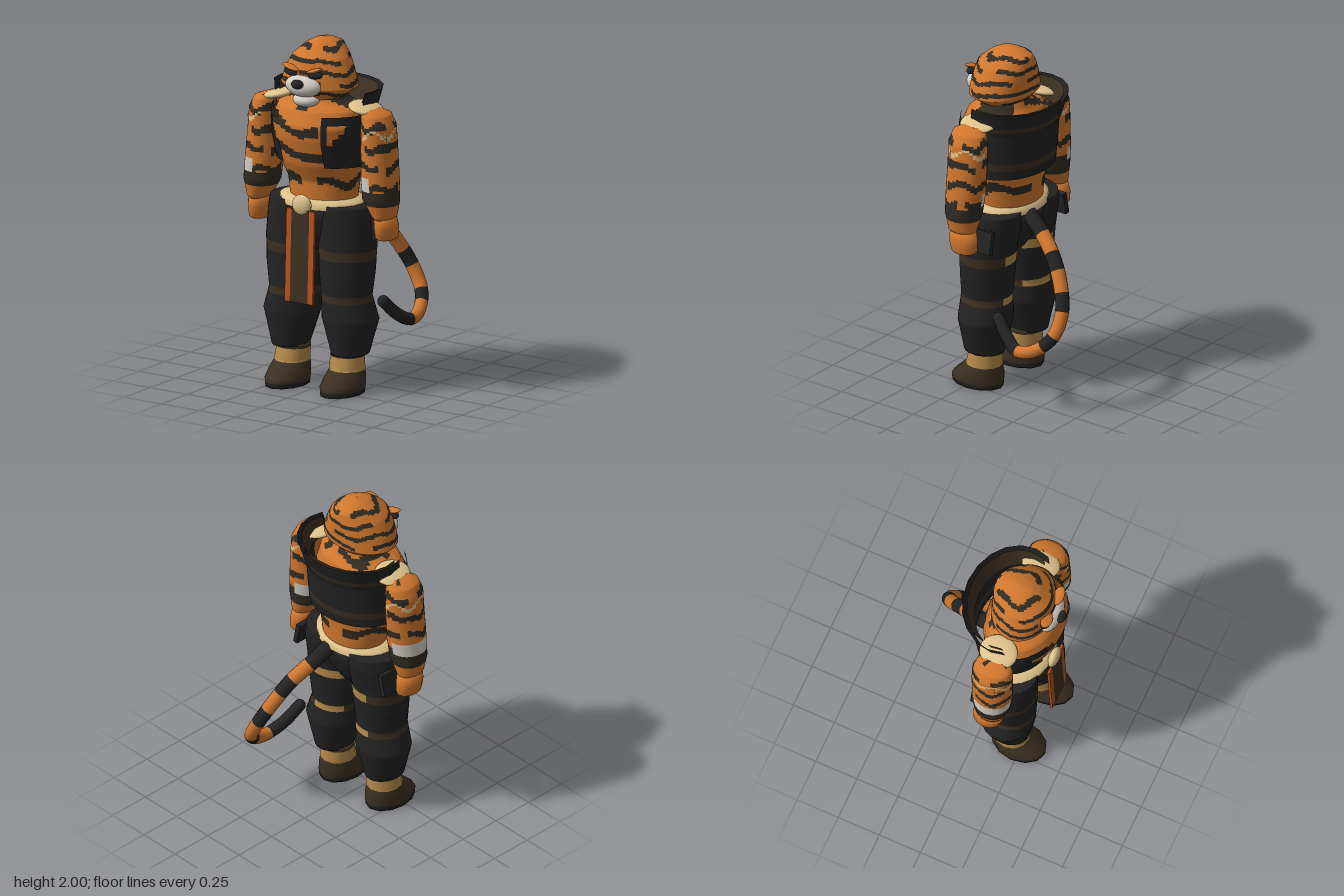
import * as THREE from 'three';

const mat = (name, color, side = THREE.FrontSide) => {
  const m = new THREE.MeshStandardMaterial({ color, side });
  m.name = name;
  return m;
};
const M = {
  orange: mat('orange fur', 0xd0772e),
  stripe: mat('dark stripe', 0x312c24),
  black: mat('black cloth', 0x232324, THREE.DoubleSide),
  brown: mat('brown leather', 0x3c3022, THREE.DoubleSide),
  cream: mat('cream', 0xdfc38c),
  tan: mat('tan wrap', 0xb58a4a),
  white: mat('white fur', 0xd2ccc2),
  rust: mat('rust trim', 0xb8531e),
};

// Skin between elliptical sections [y, cx, cz, rx, rz], listed upward.
// pick(y, angle, x, z) gives each face its material, or null for a gap; angle 0 is the front.
function loft(name, secs, pick, { from = 0, to = Math.PI * 2, seg = 40, step = 0.014 } = {}) {
  const rows = [];
  secs.forEach((s, k) => {
    if (k === 0) return rows.push(s);
    const p = secs[k - 1], n = Math.max(1, Math.ceil((s[0] - p[0]) / step));
    for (let i = 1; i <= n; i++) rows.push(s.map((v, j) => p[j] + (v - p[j]) * i / n));
  });
  const full = to - from > 6.28, cols = full ? seg : seg + 1;
  const angle = i => from + (to - from) * i / seg;
  const pos = [];
  for (const [y, cx, cz, rx, rz] of rows)
    for (let i = 0; i < cols; i++) pos.push(cx + rx * Math.sin(angle(i)), y, cz + rz * Math.cos(angle(i)));
  const faces = new Map();
  for (let r = 0; r < rows.length - 1; r++)
    for (let i = 0; i < seg; i++) {
      const a = r * cols + i, b = r * cols + (full ? (i + 1) % cols : i + 1);
      const m = pick((rows[r][0] + rows[r + 1][0]) / 2, angle(i + 0.5), pos[a * 3], pos[a * 3 + 2]);
      if (!m) continue;
      if (!faces.has(m)) faces.set(m, []);
      faces.get(m).push(a, b, b + cols, a, b + cols, a + cols);
    }
  const g = new THREE.BufferGeometry(), index = [], mats = [];
  g.setAttribute('position', new THREE.Float32BufferAttribute(pos, 3));
  for (const [m, list] of faces) {
    g.addGroup(index.length, list.length, mats.length);
    mats.push(m);
    for (const v of list) index.push(v);
  }
  g.setIndex(index);
  g.computeVertexNormals();
  const mesh = new THREE.Mesh(g, mats);
  mesh.name = name;
  return mesh;
}

// Close both ends of a section list with flat caps.
const capped = secs => {
  const shrink = s => [s[0], s[1], s[2], 0.001, 0.001];
  return [shrink(secs[0]), ...secs, shrink(secs[secs.length - 1])];
};

// Wavy, broken horizontal tiger stripes.
const stripes = (y, a, base, gap, thick) => {
  const v = (y - base + thick * 0.3 * Math.sin(3 * a + y * 9) + thick * 0.25 * Math.cos(5 * a)) / gap;
  const n = Math.round(v);
  const broken = Math.sin(2 * a + n * 2.4) > 0.86;
  return !broken && Math.abs(v - n) * gap < thick / 2 ? M.stripe : M.orange;
};

function ball(name, m, x, y, z, rx, ry, rz, tilt = 0) {
  const mesh = new THREE.Mesh(new THREE.SphereGeometry(1, 18, 12), m);
  mesh.name = name;
  mesh.position.set(x, y, z);
  mesh.scale.set(rx, ry, rz);
  mesh.rotation.z = tilt;
  return mesh;
}

function makeTail() {
  const path = new THREE.CatmullRomCurve3([
    [0.04, 1.05, 0], [0.07, 0.97, -0.12], [0.12, 0.87, -0.24], [0.17, 0.74, -0.33], [0.23, 0.6, -0.385],
    [0.3, 0.47, -0.37], [0.35, 0.38, -0.27], [0.36, 0.36, -0.17], [0.33, 0.41, -0.08], [0.3, 0.49, 0],
  ].map(p => new THREE.Vector3(...p)));
  const n = 60, sides = 12, g = new THREE.TubeGeometry(path, n, 0.045, sides);
  // Taper toward the tip
  const p = g.attributes.position, v = new THREE.Vector3();
  for (let j = 0; j <= n; j++) {
    const c = path.getPointAt(j / n);
    for (let i = 0; i <= sides; i++) {
      const k = j * (sides + 1) + i;
      v.fromBufferAttribute(p, k).sub(c).multiplyScalar(1 - 0.25 * j / n).add(c);
      p.setXYZ(k, v.x, v.y, v.z);
    }
  }
  for (let j = 0; j < n; j++) {
    const t = j / n;
    const dark = t < 0.12 || t > 0.8 || (t > 0.22 && t < 0.31) || (t > 0.41 && t < 0.5) || (t > 0.6 && t < 0.67);
    g.addGroup(j * sides * 6, sides * 6, dark ? 1 : 0);
  }
  const tail = new THREE.Group();
  tail.name = 'tail';
  const tube = new THREE.Mesh(g, [M.orange, M.black]);
  tube.name = 'tailTube';
  tail.add(tube, ball('tailTip', M.black, 0.3, 0.49, 0, 0.034, 0.034, 0.034));
  return tail;
}

export function createModel() {
  const root = new THREE.Group();
  root.name = 'tigerWarrior';

  // Torso and neck
  root.add(loft('torso', [
    [1.04, 0, 0.15, 0.2, 0.16], [1.1, 0, 0.14, 0.2, 0.165], [1.2, 0, 0.14, 0.215, 0.17], [1.3, 0, 0.16, 0.25, 0.2],
    [1.45, 0, 0.18, 0.27, 0.22], [1.53, 0, 0.19, 0.28, 0.22], [1.62, 0, 0.18, 0.25, 0.19],
    [1.66, 0, 0.17, 0.16, 0.15], [1.74, 0, 0.17, 0.12, 0.12],
  ], (y, a) => stripes(y, a, 1.52, 0.157, 0.055)));

  // Head
  root.add(loft('head', [
    [1.64, 0, 0.19, 0.001, 0.001], [1.645, 0, 0.19, 0.09, 0.1], [1.69, 0, 0.19, 0.16, 0.14], [1.74, 0, 0.183, 0.233, 0.178],
    [1.82, 0, 0.18, 0.205, 0.175], [1.9, 0, 0.17, 0.16, 0.165], [1.96, 0, 0.14, 0.1, 0.125],
    [1.985, 0, 0.145, 0.055, 0.075], [2.0, 0, 0.15, 0.001, 0.001],
  ], (y, a) => y > 1.975 ? M.orange : stripes(y, a, 1.77, 0.062, 0.024), { step: 0.008, seg: 48 }));
  root.add(
    ball('muzzle', M.white, 0, 1.755, 0.345, 0.115, 0.062, 0.06),
    ball('chin', M.white, 0, 1.67, 0.315, 0.08, 0.04, 0.07),
    ball('nose', M.black, 0, 1.775, 0.403, 0.038, 0.026, 0.027));
  for (const s of [1, -1]) root.add(
    ball('eye', M.black, s * 0.08, 1.825, 0.345, 0.046, 0.02, 0.03, s * 0.12),
    ball('brow', M.orange, s * 0.08, 1.853, 0.35, 0.055, 0.012, 0.032, s * 0.3));

  // Vest, open at the front with a notch in each panel, and the flared collar
  root.add(loft('vest', [
    [1.3, 0, 0.14, 0.285, 0.225], [1.45, 0, 0.155, 0.295, 0.26], [1.53, 0, 0.155, 0.3, 0.265], [1.6, 0, 0.145, 0.3, 0.262],
  ], (y, a, x, z) => {
    const ax = Math.abs(x);
    if (z > 0.2 && y > 1.42 && y < 1.55 && ax > 0.15 && ax < 0.16 + (y - 1.42) * 0.75) return null;
    return z < 0.1 && Math.abs(y - 1.38) < 0.02 ? M.brown : M.black;
  }, { from: 0.5, to: Math.PI * 2 - 0.5, seg: 44 }));
  root.add(loft('collar', [[1.57, 0, 0.13, 0.295, 0.25], [1.72, 0, 0.1, 0.325, 0.265]],
    y => Math.abs(y - 1.61) < 0.015 ? M.brown : M.black, { from: 1.25, to: Math.PI * 2 - 1.25, seg: 12 }));
  root.add(loft('collarLining', [[1.59, 0, 0.13, 0.27, 0.225], [1.715, 0, 0.1, 0.3, 0.24]],
    () => M.brown, { from: 1.3, to: Math.PI * 2 - 1.3, seg: 12 }));

  // Arms, hands and shoulder pads
  for (const s of [1, -1]) {
    const place = secs => secs.map(([y, x, ...rest]) => [y, x * s, ...rest]);
    root.add(loft('arm', place(capped([
      [1.02, 0.42, 0.16, 0.05, 0.075], [1.035, 0.42, 0.16, 0.065, 0.085], [1.13, 0.4, 0.165, 0.105, 0.105],
      [1.25, 0.39, 0.16, 0.105, 0.115], [1.45, 0.38, 0.155, 0.095, 0.118], [1.55, 0.375, 0.155, 0.09, 0.118],
      [1.61, 0.36, 0.155, 0.075, 0.1], [1.635, 0.34, 0.155, 0.03, 0.05],
    ])), (y, a) => {
      if (y > 1.18 && y < 1.26 && Math.sin(a) < 0.05) return M.white;
      if (y > 1.1 && y < 1.18) return M.stripe;
      if (Math.abs(y - 1.51 - 0.025 * Math.sin(4 * a)) < 0.01 && s * Math.sin(a) > -0.4) return M.cream;
      return y < 1.1 ? M.orange : stripes(y, a, 1.32, 0.115, 0.042);
    }, { seg: 32 }));
    root.add(loft('hand', place(capped([
      [0.9, 0.425, 0.145, 0.045, 0.065], [0.912, 0.425, 0.145, 0.058, 0.08],
      [0.97, 0.425, 0.15, 0.062, 0.088], [1.03, 0.42, 0.155, 0.06, 0.08],
    ])), () => M.orange, { seg: 12, step: 0.1 }));
    root.add(ball('shoulderPad', M.cream, s * 0.285, 1.632, 0.15, 0.095, 0.026, 0.11, -s * 0.22));
    // Torn sleeve points
    for (const [z, m] of [[0.21, M.cream], [0.13, M.brown]]) {
      const spike = new THREE.Mesh(new THREE.ConeGeometry(0.03, 0.09, 4), m);
      spike.name = 'sleeveTear';
      spike.position.set(s * 0.445, 1.515, z);
      spike.rotation.z = -s * 2.5;
      root.add(spike);
    }

    // Trouser legs with bands that turn tan at the back
    root.add(loft('trouserLeg', place(capped([
      [0.22, 0.2, 0.175, 0.1, 0.12], [0.42, 0.195, 0.168, 0.165, 0.152], [0.55, 0.175, 0.175, 0.142, 0.145],
      [0.7, 0.175, 0.17, 0.162, 0.152], [0.85, 0.175, 0.165, 0.167, 0.16], [1.0, 0.17, 0.15, 0.163, 0.175], [1.075, 0.165, 0.148, 0.155, 0.175],
    ])), (y, a) => {
      if (Math.abs(y - 0.8) > 0.027 && Math.abs(y - 0.54) > 0.02) return M.black;
      return Math.cos(a - s * 0.4) < -0.8 ? M.tan : M.brown;
    }, { seg: 24 }));
    const flap = new THREE.Mesh(new THREE.BoxGeometry(0.03, 0.13, 0.15), M.black);
    flap.name = 'hipFlap';
    flap.position.set(s * 0.34, 0.95, 0.09);
    flap.rotation.z = s * 0.2;
    root.add(flap);

    // Boots with wrapped ankles
    root.add(loft('boot', place(capped([
      [0, 0.185, 0.23, 0.11, 0.157], [0.04, 0.185, 0.23, 0.115, 0.16], [0.09, 0.185, 0.205, 0.11, 0.133],
      [0.13, 0.185, 0.185, 0.1, 0.105], [0.23, 0.18, 0.175, 0.095, 0.09],
    ])), y => y < 0.03 ? M.black : y > 0.13 && y < 0.2 ? M.tan : M.brown, { seg: 12 }));
  }

  // Hips and belt
  root.add(loft('hips', capped([
    [0.8, 0, 0.165, 0.1, 0.1], [0.9, 0, 0.16, 0.2, 0.155], [1.06, 0, 0.15, 0.27, 0.185],
  ]), () => M.black, { seg: 24, step: 0.1 }));
  root.add(loft('belt', [
    [1.05, 0, 0.155, 0.255, 0.198], [1.092, 0, 0.155, 0.255, 0.198], [1.1, 0, 0.15, 0.19, 0.155],
  ], () => M.cream, { seg: 24, step: 0.1 }));
  root.add(ball('buckle', M.cream, 0, 1.075, 0.36, 0.062, 0.06, 0.03));

  // Hanging cloth with rust trim
  const cloth = new THREE.Group();
  cloth.name = 'loincloth';
  for (const [x, w, m, name] of [[0, 0.12, M.brown, 'clothPanel'], [0.077, 0.035, M.rust, 'clothTrim'], [-0.077, 0.035, M.rust, 'clothTrim']]) {
    const strip = new THREE.Mesh(new THREE.BoxGeometry(w, 0.53, 0.015), m);
    strip.name = name;
    strip.position.x = x;
    cloth.add(strip);
  }
  cloth.position.set(0, 0.785, 0.375);
  cloth.rotation.x = -0.035;
  root.add(cloth);

  root.add(makeTail());
  return root;
}
